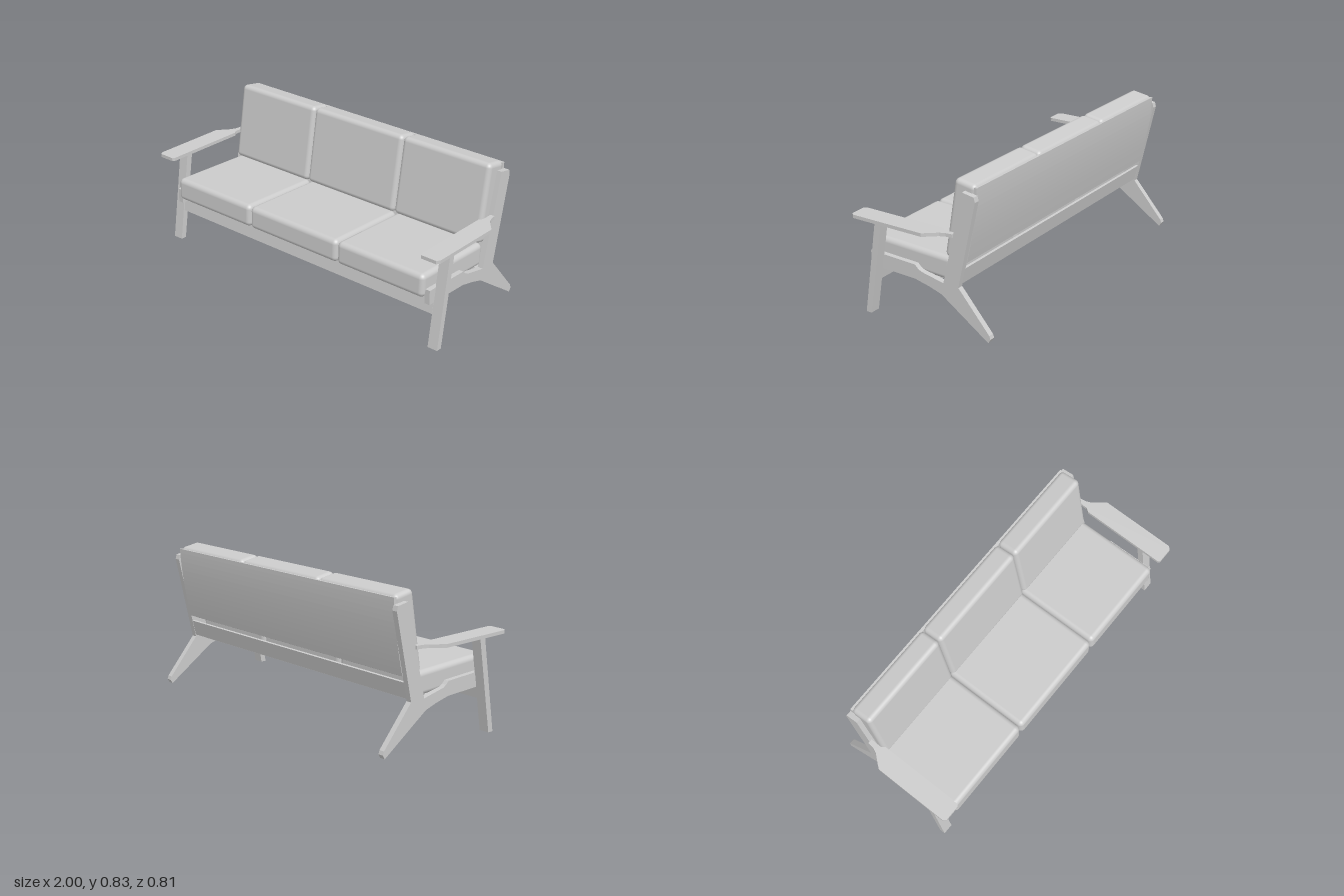
import * as THREE from 'three';
import { RoundedBoxGeometry } from 'three/addons/geometries/RoundedBoxGeometry.js';

const grey = new THREE.MeshStandardMaterial({ color: 0xcccccc });

function add(parent, name, geometry) {
  const mesh = new THREE.Mesh(geometry, grey);
  mesh.name = name;
  parent.add(mesh);
  return mesh;
}

const toShape = pts => new THREE.Shape(pts.map(p => new THREE.Vector2(p[0], p[1])));

// Side profile of [z, y] points, extruded across x and centred on x = cx
function sideExtrude(pts, width, cx = 0) {
  const geo = new THREE.ExtrudeGeometry(toShape(pts), { depth: width, bevelEnabled: false });
  geo.translate(0, 0, -width / 2);
  geo.rotateY(-Math.PI / 2);
  geo.translate(cx, 0, 0);
  return geo;
}

// Plan outline of [x, z] points, extruded upwards from y
function planExtrude(pts, height, y) {
  const geo = new THREE.ExtrudeGeometry(toShape(pts.map(([x, z]) => [x, -z])), { depth: height, bevelEnabled: false });
  geo.rotateX(-Math.PI / 2);
  geo.translate(0, y, 0);
  return geo;
}

// Back post, rear leg and seat rail cut as one board
const sideFrame = [
  [-0.245, 0.78], [-0.315, 0.768], [-0.322, 0.742], [-0.212, 0.26], [-0.398, 0.045],
  [-0.405, 0.025], [-0.392, 0.003], [-0.105, 0.197], [-0.03, 0.22], [0.06, 0.24],
  [0.348, 0.248], [0.348, 0.33], [0.06, 0.32], [0.042, 0.302], [0.02, 0.29], [-0.118, 0.262],
];
const frontLeg = [[0.348, 0], [0.315, 0], [0.228, 0.53], [0.265, 0.53]];
const armrest = [
  [0.885, 0.39], [0.895, 0.402], [0.985, 0.402], [1, 0.385], [1, -0.05], [0.985, -0.07],
  [0.943, -0.12], [0.93, -0.15], [0.925, -0.187], [0.9, -0.187], [0.9, -0.12], [0.885, -0.1],
];

export function createModel() {
  const model = new THREE.Group();
  model.name = 'sofa';

  // Mirrored wooden sides
  for (const [side, s] of [['left', 1], ['right', -1]]) {
    const group = new THREE.Group();
    group.name = side + 'Side';
    model.add(group);
    add(group, side + 'Frame', sideExtrude(sideFrame, 0.032, s * 0.9));
    add(group, side + 'FrontLeg', sideExtrude(frontLeg, 0.06, s * 0.944));
    add(group, side + 'Armrest', planExtrude(armrest.map(([x, z]) => [s * x, z]), 0.019, 0.53));
  }

  // Three seat cushions and three back cushions
  for (const [place, x, width] of [['right', -0.603, 0.57], ['middle', 0, 0.63], ['left', 0.603, 0.57]]) {
    const seat = add(model, place + 'SeatCushion', new RoundedBoxGeometry(width, 0.131, 0.52, 5, 0.028));
    seat.position.set(x, 0.338, 0.112);
    seat.rotation.x = -0.035;
    const back = add(model, place + 'BackCushion', new RoundedBoxGeometry(width, 0.44, 0.13, 5, 0.026));
    back.position.set(x, 0.607, -0.207);
    back.rotation.x = -0.168;
  }

  // Front rail, leaning with the front legs
  add(model, 'frontRail', sideExtrude([[0.316, 0.18], [0.292, 0.18], [0.277, 0.272], [0.301, 0.272]], 1.82));

  // Slats under the seat, following its slope
  for (let i = 0; i < 5; i++) {
    const z = 0.21 - i * 0.083;
    const slat = add(model, 'seatSlat' + (i + 1), new THREE.BoxGeometry(1.78, 0.018, 0.04));
    slat.position.set(0, 0.259 + (z - 0.112) * 0.035, z);
    slat.rotation.x = -0.035;
  }

  // Lower back rail between the posts
  add(model, 'lowerBackRail', sideExtrude([[-0.198, 0.27], [-0.212, 0.272], [-0.233, 0.36], [-0.219, 0.362]], 1.78));

  // Curved back panel
  const curve = new THREE.QuadraticBezierCurve(
    new THREE.Vector2(-0.246, 0.395), new THREE.Vector2(-0.306, 0.64), new THREE.Vector2(-0.312, 0.805));
  const rear = curve.getPoints(14).map(p => [p.x, p.y]);
  const front = rear.map(([z, y]) => [z + 0.016, y]).reverse();
  add(model, 'backPanel', sideExtrude([...rear, ...front], 1.77));

  return model;
}
